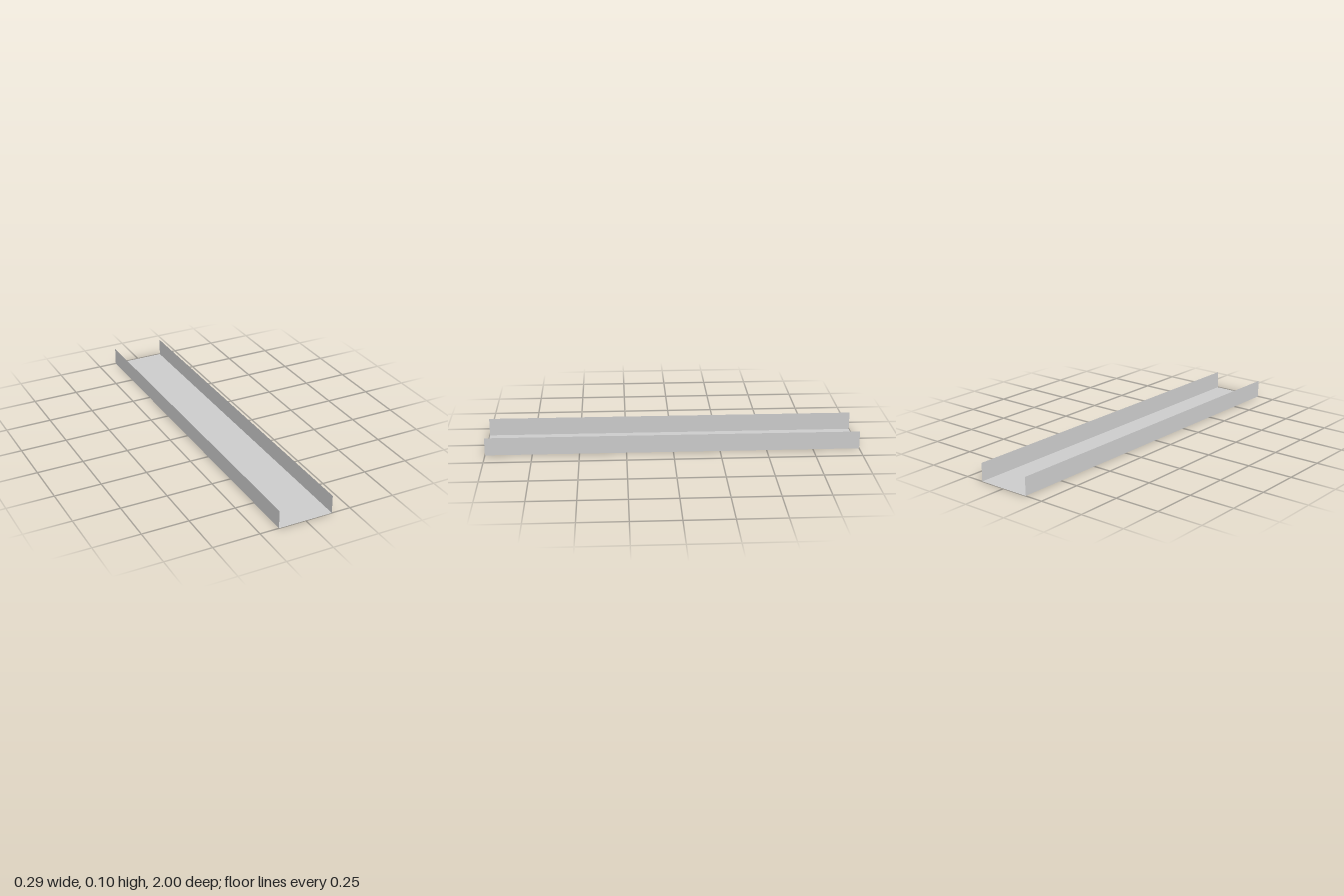
import * as THREE from 'three';

const WIDTH = 0.294, HEIGHT = 0.097, LENGTH = 2;

export function createModel() {
  const group = new THREE.Group();
  group.name = 'channel';
  const material = new THREE.MeshStandardMaterial({ color: 0xcccccc, side: THREE.DoubleSide });

  // Flat sheet floor
  const floor = new THREE.Mesh(new THREE.PlaneGeometry(WIDTH, LENGTH).rotateX(-Math.PI / 2), material);
  floor.name = 'floor';
  group.add(floor);

  // Thin upright walls along both long edges
  for (const side of [1, -1]) {
    const wall = new THREE.Mesh(new THREE.PlaneGeometry(LENGTH, HEIGHT).rotateY(side * Math.PI / 2), material);
    wall.name = side > 0 ? 'leftWall' : 'rightWall';
    wall.position.set(side * WIDTH / 2, HEIGHT / 2, 0);
    group.add(wall);
  }
  return group;
}
